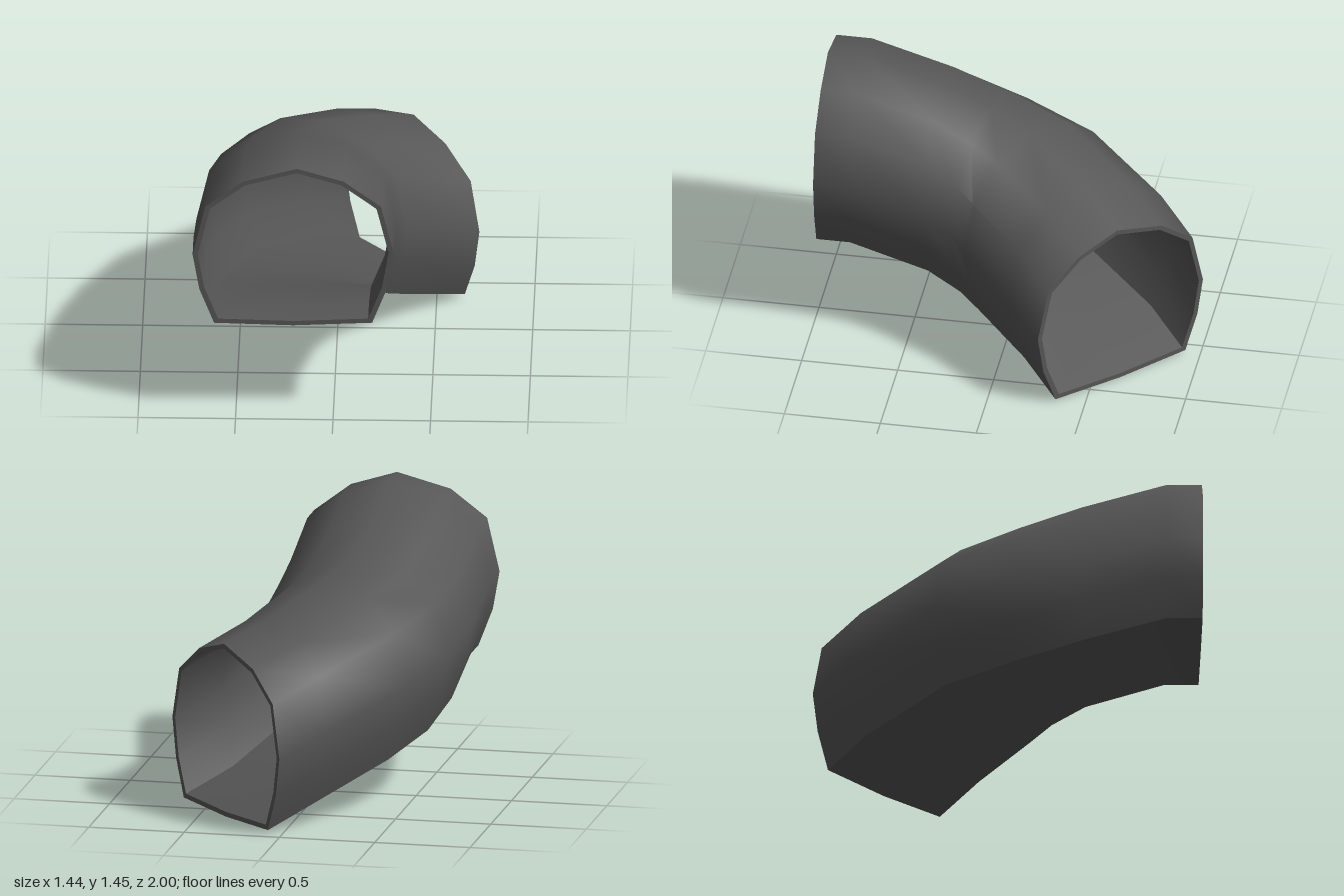
import * as THREE from 'three';
import { toCreasedNormals } from 'three/addons/utils/BufferGeometryUtils.js';

// Half-round cross-section with a flat floor, anticlockwise: [across, up]
const SECTION = [
  [0.405, 0.015], [0.48, 0.21], [0.515, 0.42], [0.45, 0.69], [0.26, 0.835], [0.02, 0.91],
  [-0.26, 0.835], [-0.45, 0.69], [-0.515, 0.41], [-0.48, 0.21], [-0.405, 0.015], [0, 0],
];

// Stations along the bend: outer side x, z, inner side x, z, floor height
const STATIONS = [
  [-0.72, 1.0, 0.31, 0.975, 0.54],
  [-0.72, 0.81, 0.31, 0.8, 0.54],
  [-0.715, 0.37, 0.31, 0.4, 0.415],
  [-0.66, 0.01, 0.335, 0.25, 0.325],
  [-0.515, -0.38, 0.36, 0.18, 0.25],
  [-0.2, -0.8, 0.52, -0.07, 0.105],
  [0, -1, 0.72, -0.27, 0],
];

// One ring of points; the inner wall is the same ring drawn in by the wall thickness
function ring([ax, az, bx, bz, floor], inner) {
  const cx = (ax + bx) / 2, cz = (az + bz) / 2;
  const len = Math.hypot(bx - ax, bz - az);
  const dx = (bx - ax) / len, dz = (bz - az) / len;
  const fit = len / 1.03;
  return SECTION.map(([u, v]) => {
    const across = u * fit * (inner ? 0.95 : 1);
    const up = inner ? 0.025 + v * 0.945 : v;
    return [cx + dx * across, floor + up, cz + dz * across];
  });
}

export function createModel() {
  const group = new THREE.Group();
  group.name = 'curvedTunnel';
  const darkGrey = new THREE.MeshStandardMaterial({ color: 0x575757 });
  darkGrey.name = 'darkGrey';

  // Outer wall front to back, then inner wall back to front, closed by the two rims
  const rings = [
    ...STATIONS.map((s) => ring(s, false)),
    ...STATIONS.slice().reverse().map((s) => ring(s, true)),
  ];
  const n = SECTION.length;
  const index = [];
  for (let i = 0; i < rings.length; i++) {
    const next = (i + 1) % rings.length;
    for (let j = 0; j < n; j++) {
      const k = (j + 1) % n;
      const a = i * n + j, b = i * n + k, c = next * n + j, d = next * n + k;
      index.push(a, c, b, b, c, d);
    }
  }
  const geometry = new THREE.BufferGeometry();
  geometry.setAttribute('position', new THREE.Float32BufferAttribute(rings.flat(2), 3));
  geometry.setIndex(index);

  const tunnel = new THREE.Mesh(toCreasedNormals(geometry, 0.95), darkGrey);
  tunnel.name = 'tunnelShell';
  group.add(tunnel);
  return group;
}
